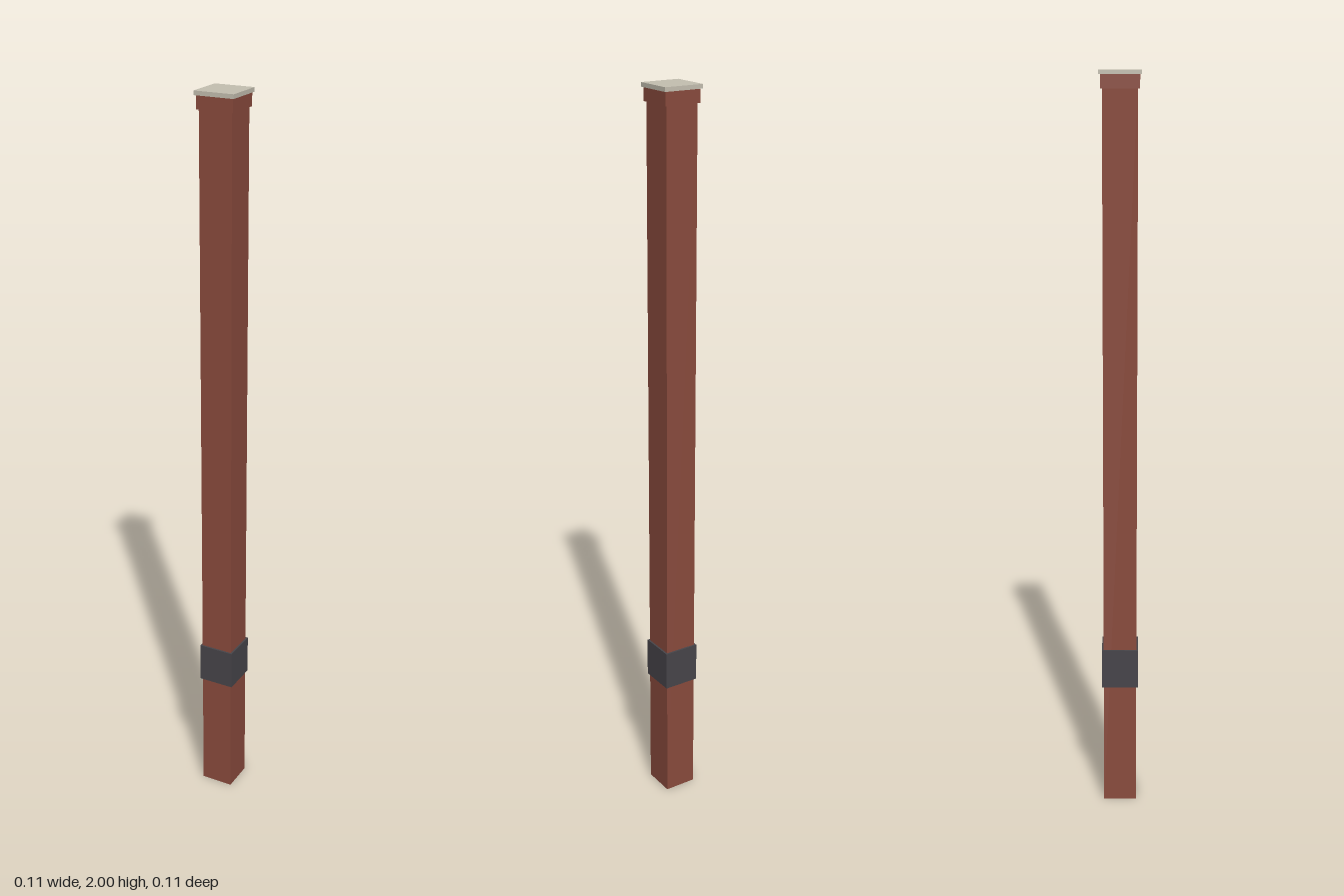
import * as THREE from 'three';

export function createModel() {
  const group = new THREE.Group();
  const brick = new THREE.MeshStandardMaterial({ name: 'redBrown', color: 0x8a4b3d });
  const dark = new THREE.MeshStandardMaterial({ name: 'charcoal', color: 0x47454a });
  const stone = new THREE.MeshStandardMaterial({ name: 'paleStone', color: 0xc4bfb0 });

  // Square block of the given width, spanning bottom to top
  function block(name, width, bottom, top, material) {
    const mesh = new THREE.Mesh(new THREE.BoxGeometry(width, top - bottom, width), material);
    mesh.name = name;
    mesh.position.y = (bottom + top) / 2;
    group.add(mesh);
  }

  block('shaft', 0.09, 0, 1.985, brick);
  block('band', 0.1, 0.345, 0.455, dark);
  block('collar', 0.1, 1.955, 1.989, brick);
  block('cap', 0.108, 1.989, 2, stone);

  return group;
}
